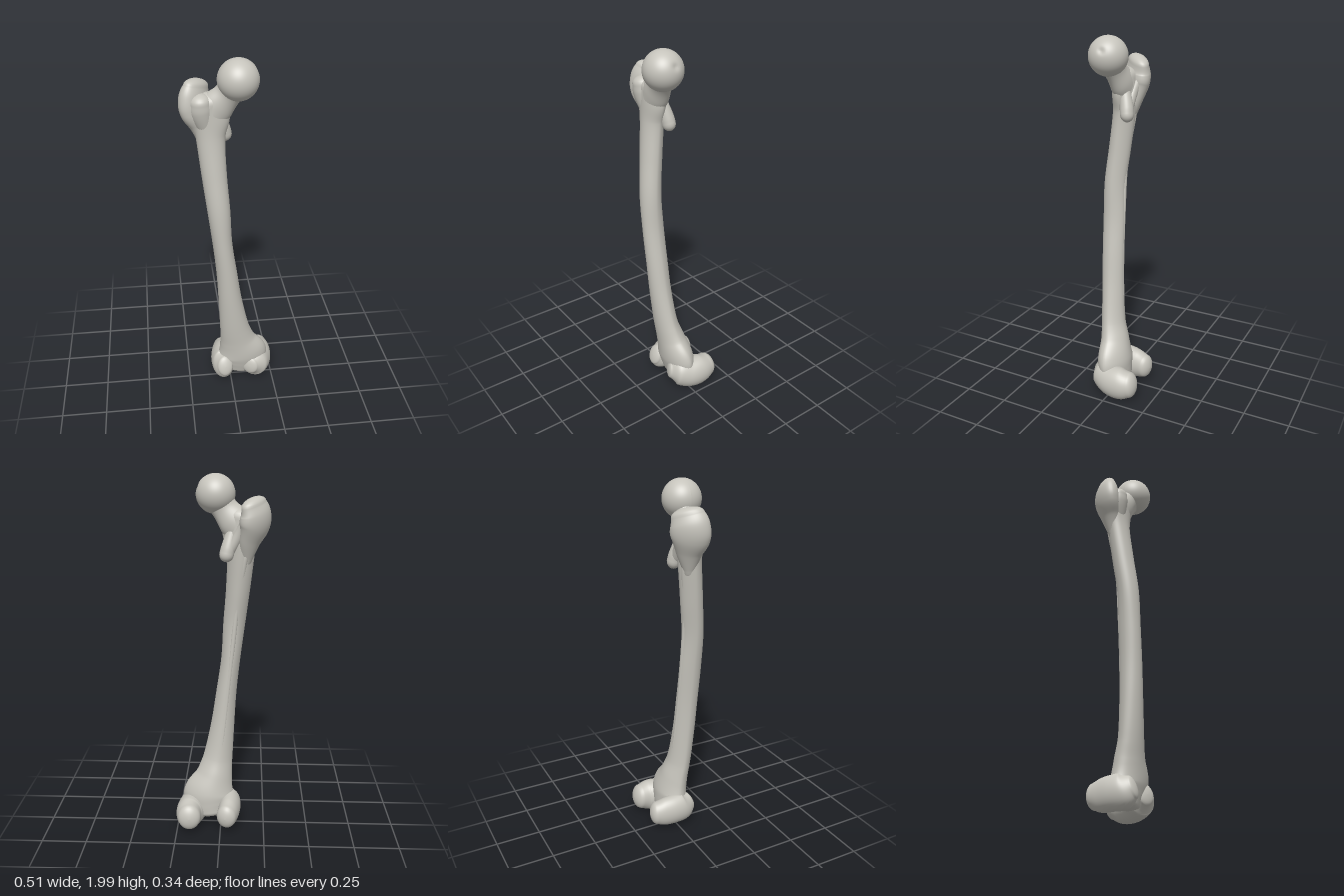
import * as THREE from 'three';

const V = (x, y, z) => new THREE.Vector3(x, y, z);

// Smooth body swept through sections [x, y, z, halfWidth, halfDepth] with rounded ends.
// 'side' is the direction of halfWidth; 'taper' narrows one half of each ring.
function sweep(sections, { side = V(1, 0, 0), cap = [0.03, 0.03], steps = 8, around = 40, taper = 0 } = {}) {
  const path = new THREE.CatmullRomCurve3(sections.map(s => V(s[0], s[1], s[2])));
  const size = new THREE.CatmullRomCurve3(sections.map(s => V(s[3], s[4], 0)), false, 'catmullrom', 0.5);
  const rings = [];
  const addRing = (u, scale, shift) => {
    const t = path.getTangent(u);
    const c = path.getPoint(u).addScaledVector(t, shift);
    const r = size.getPoint(u).multiplyScalar(scale);
    const s = side.clone().addScaledVector(t, -side.dot(t)).normalize();
    rings.push({ c, r, s, d: t.clone().cross(s) });
  };
  const capSteps = 7;
  for (let k = capSteps; k > 0; k--) {
    const a = (k / capSteps) * Math.PI / 2;
    addRing(0, Math.max(Math.cos(a), 0.005), -cap[0] * Math.sin(a));
  }
  const n = (sections.length - 1) * steps;
  for (let i = 0; i <= n; i++) addRing(i / n, 1, 0);
  for (let k = 1; k <= capSteps; k++) {
    const a = (k / capSteps) * Math.PI / 2;
    addRing(1, Math.max(Math.cos(a), 0.005), cap[1] * Math.sin(a));
  }

  const pos = [], index = [];
  rings.forEach(({ c, r, s, d }, i) => {
    for (let j = 0; j < around; j++) {
      const a = (j / around) * Math.PI * 2;
      const w = 1 - taper * Math.max(0, Math.sin(a));
      const p = c.clone().addScaledVector(s, r.x * Math.cos(a) * w).addScaledVector(d, r.y * Math.sin(a));
      pos.push(p.x, p.y, p.z);
      if (i === rings.length - 1) continue;
      const k = (j + 1) % around, lo = i * around, hi = lo + around;
      index.push(lo + j, lo + k, hi + j, lo + k, hi + k, hi + j);
    }
  });
  const g = new THREE.BufferGeometry();
  g.setAttribute('position', new THREE.Float32BufferAttribute(pos, 3));
  g.setIndex(index);
  g.computeVertexNormals();
  return g;
}

// Ball with a small pit where the ligament attaches
function headGeometry(radius) {
  const g = new THREE.SphereGeometry(radius, 64, 48);
  const pit = V(0.93, 0.35, -0.08).normalize();
  const p = g.attributes.position, v = V(0, 0, 0);
  for (let i = 0; i < p.count; i++) {
    v.fromBufferAttribute(p, i);
    const angle = v.angleTo(pit);
    v.multiplyScalar(1 - 0.08 * Math.exp(-((angle / 0.16) ** 2)));
    p.setXYZ(i, v.x, v.y, v.z);
  }
  g.computeVertexNormals();
  return g;
}

export function createModel() {
  const bone = new THREE.MeshStandardMaterial({ color: 0xc6c4bc });
  bone.name = 'bone';
  const model = new THREE.Group();
  model.name = 'thighBone';
  const add = (name, geometry) => {
    const mesh = new THREE.Mesh(geometry, bone);
    mesh.name = name;
    model.add(mesh);
    return mesh;
  };

  // Bowed shaft, flaring at both ends and narrower at the back
  add('shaft', sweep([
    [0.06, 0.09, -0.005, 0.12, 0.072],
    [0.066, 0.14, 0.002, 0.142, 0.08],
    [0.066, 0.2, 0.01, 0.148, 0.085],
    [0.04, 0.3, 0.026, 0.106, 0.075],
    [0.02, 0.4, 0.045, 0.085, 0.065],
    [-0.007, 0.6, 0.0625, 0.067, 0.0625],
    [-0.028, 0.8, 0.072, 0.057, 0.0625],
    [-0.052, 1.0, 0.078, 0.053, 0.0625],
    [-0.07, 1.2, 0.08, 0.06, 0.06],
    [-0.09, 1.4, 0.06, 0.065, 0.06],
    [-0.104, 1.6, 0.04, 0.074, 0.06],
    [-0.103, 1.7, 0.036, 0.097, 0.062],
    [-0.115, 1.78, 0.036, 0.105, 0.062],
  ], { taper: 0.2, cap: [0.035, 0.05], around: 56 }));

  // Rough ridge down the back of the shaft
  add('backRidge', sweep([
    [-0.125, 1.56, -0.002, 0.014, 0.014],
    [-0.088, 1.32, 0.024, 0.014, 0.013],
    [-0.06, 1.05, 0.026, 0.013, 0.013],
    [-0.03, 0.75, 0.02, 0.013, 0.013],
    [-0.005, 0.5, 0.004, 0.011, 0.011],
  ], { around: 16, cap: [0.08, 0.08] }));

  // Neck and ball head
  add('neck', sweep([
    [-0.125, 1.69, 0.036, 0.085, 0.058],
    [-0.07, 1.76, 0.04, 0.086, 0.06],
    [-0.02, 1.82, 0.05, 0.07, 0.056],
    [0.015, 1.875, 0.062, 0.078, 0.074],
  ], { cap: [0.05, 0.02] }));
  add('head', headGeometry(0.103)).position.set(0.03, 1.897, 0.066);

  // Greater trochanter: slanted block with a bulge at its front
  add('greaterTrochanter', sweep([
    [-0.13, 1.57, 0.025, 0.035, 0.035],
    [-0.15, 1.66, 0.012, 0.068, 0.048],
    [-0.175, 1.74, 0.005, 0.1, 0.06],
    [-0.178, 1.8, 0, 0.1, 0.06],
    [-0.168, 1.85, -0.008, 0.085, 0.046],
  ], { side: V(-0.65, 0, 0.76).normalize(), cap: [0.06, 0.037] }));
  add('trochanterFrontBulge', sweep([
    [-0.125, 1.64, 0.045, 0.04, 0.04],
    [-0.15, 1.74, 0.055, 0.058, 0.056],
    [-0.155, 1.79, 0.058, 0.055, 0.056],
  ], { cap: [0.06, 0.04] }));

  // Lesser trochanter and the crest that joins it to the greater one
  add('lesserTrochanter', sweep([
    [-0.055, 1.7, 0.012, 0.03, 0.03],
    [-0.038, 1.63, -0.004, 0.037, 0.036],
    [-0.03, 1.595, -0.01, 0.038, 0.036],
  ], { cap: [0.05, 0.04] }));
  add('backCrest', sweep([
    [-0.14, 1.79, -0.035, 0.03, 0.03],
    [-0.1, 1.71, -0.018, 0.026, 0.022],
    [-0.05, 1.62, -0.006, 0.028, 0.026],
  ]));

  // Knee condyles, running from front to back
  add('leftCondyle', sweep([
    [0.11, 0.13, 0.08, 0.05, 0.055],
    [0.13, 0.125, 0.04, 0.088, 0.09],
    [0.165, 0.105, -0.02, 0.085, 0.095],
    [0.18, 0.105, -0.08, 0.075, 0.093],
    [0.177, 0.11, -0.13, 0.065, 0.075],
  ], { cap: [0.02, 0.042] }));
  add('rightCondyle', sweep([
    [-0.04, 0.14, 0.082, 0.046, 0.062],
    [-0.045, 0.125, 0.04, 0.065, 0.09],
    [-0.05, 0.12, -0.02, 0.065, 0.09],
    [-0.045, 0.115, -0.08, 0.06, 0.085],
    [-0.036, 0.115, -0.125, 0.056, 0.07],
  ], { cap: [0.022, 0.04] }));

  return model;
}
